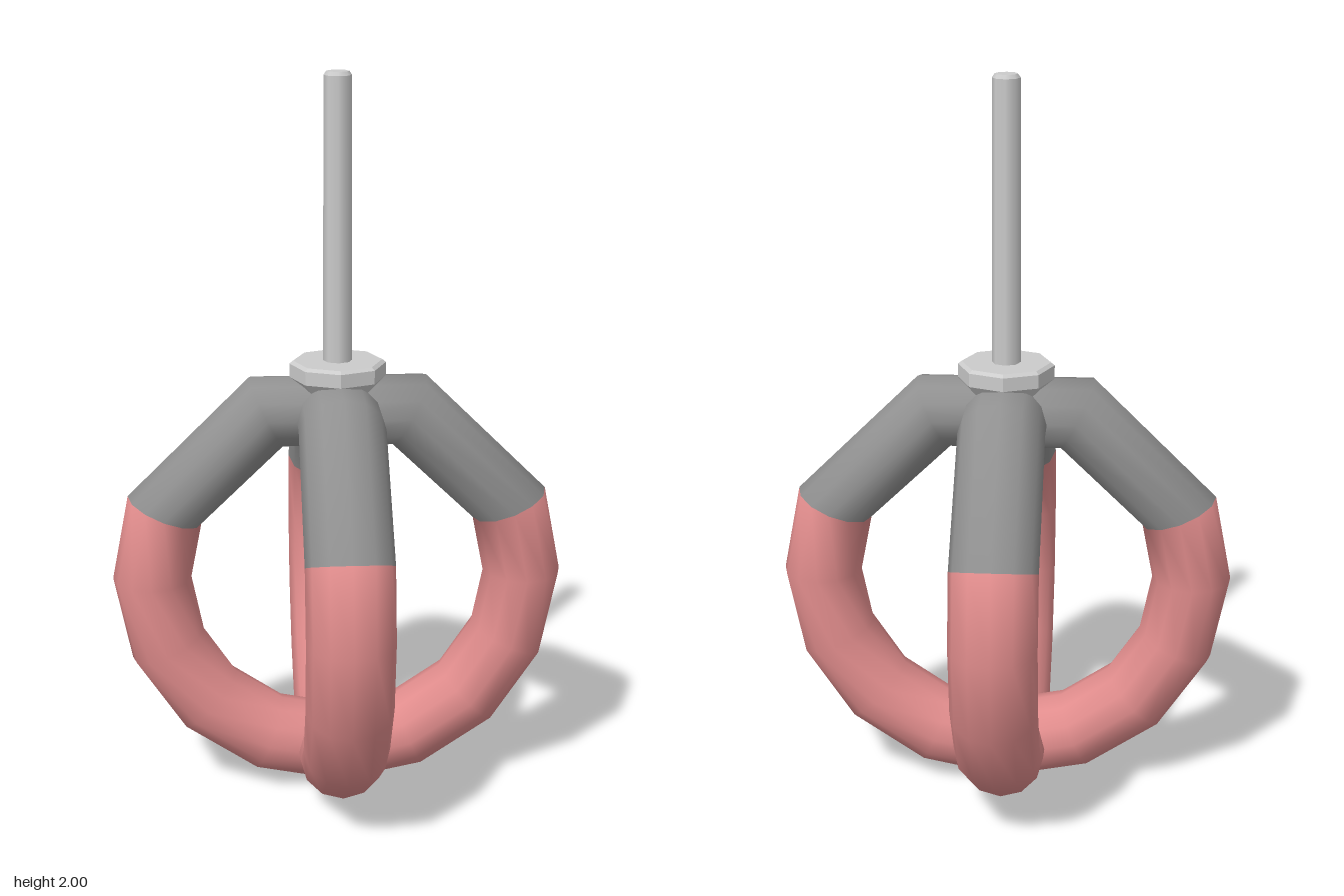
import * as THREE from 'three';

const SIDES = 12, HALF_WIDTH = 0.115;
const steel = new THREE.MeshStandardMaterial({ color: 0xcccccc });
const hubSteel = new THREE.MeshStandardMaterial({ color: 0xcccccc, flatShading: true });
const armGrey = new THREE.MeshStandardMaterial({ color: 0x909090 });
const gripRed = new THREE.MeshStandardMaterial({ color: 0xe08c8c });

// Each section is [outerX, outerY, innerX, innerY]; the first three form the arm
function clawSections() {
  const sections = [
    [0, 1.19, 0, 1.0],
    [0.24, 1.19, 0.145, 1.0],
  ];
  // Curved finger: sixteenths of a ring, from above the middle to the bottom
  for (let i = -1; i <= 4; i++) {
    const a = i * Math.PI / 8, c = Math.cos(a), s = Math.sin(a);
    sections.push([0.62 * c, 0.625 - 0.62 * s, 0.405 * c, 0.625 - 0.405 * s]);
  }
  return sections;
}

// Smooth tube through the sections, split into arm and finger with shared normals
function clawGeometries() {
  const positions = [], index = [];
  const sections = clawSections();
  sections.forEach(([ox, oy, ix, iy], i) => {
    for (let j = 0; j < SIDES; j++) {
      const a = j / SIDES * Math.PI * 2, c = Math.cos(a);
      positions.push(
        (ox + ix) / 2 + c * (ox - ix) / 2,
        (oy + iy) / 2 + c * (oy - iy) / 2,
        Math.sin(a) * HALF_WIDTH);
      if (i === sections.length - 1) continue;
      const k = (j + 1) % SIDES, p = i * SIDES, q = p + SIDES;
      index.push(p + j, p + k, q + j, p + k, q + k, q + j);
    }
  });
  const whole = new THREE.BufferGeometry();
  whole.setAttribute('position', new THREE.Float32BufferAttribute(positions, 3));
  whole.setIndex(index);
  whole.computeVertexNormals();
  const split = 2 * SIDES * 6;
  return [index.slice(0, split), index.slice(split)].map((part) => {
    const g = whole.clone();
    g.setIndex(part);
    return g;
  });
}

export function createModel() {
  const model = new THREE.Group();
  model.name = 'grabber';
  const add = (parent, name, geometry, material, y = 0) => {
    const mesh = new THREE.Mesh(geometry, material);
    mesh.name = name;
    mesh.position.y = y;
    parent.add(mesh);
  };

  // Four claws that meet at the hub and at the bottom
  const [armGeometry, fingerGeometry] = clawGeometries();
  ['left', 'back', 'right', 'front'].forEach((side, i) => {
    const claw = new THREE.Group();
    claw.name = side + 'Claw';
    claw.rotation.y = i * Math.PI / 2;
    add(claw, side + 'Arm', armGeometry, armGrey);
    add(claw, side + 'Finger', fingerGeometry, gripRed);
    model.add(claw);
  });

  // Eight-sided hub with a tapered underside
  const hubProfile = [[0, 1.13], [0.08, 1.13], [0.13, 1.19], [0.13, 1.227], [0.12, 1.235], [0, 1.235]];
  add(model, 'hub', new THREE.LatheGeometry(hubProfile.map(([r, y]) => new THREE.Vector2(r, y)), 8), hubSteel);

  // Rod with a chamfered tip
  add(model, 'rod', new THREE.CylinderGeometry(0.037, 0.039, 0.77, 8, 1, true), steel, 1.605);
  add(model, 'rodTip', new THREE.CylinderGeometry(0.03, 0.037, 0.01, 8), steel, 1.995);
  return model;
}
